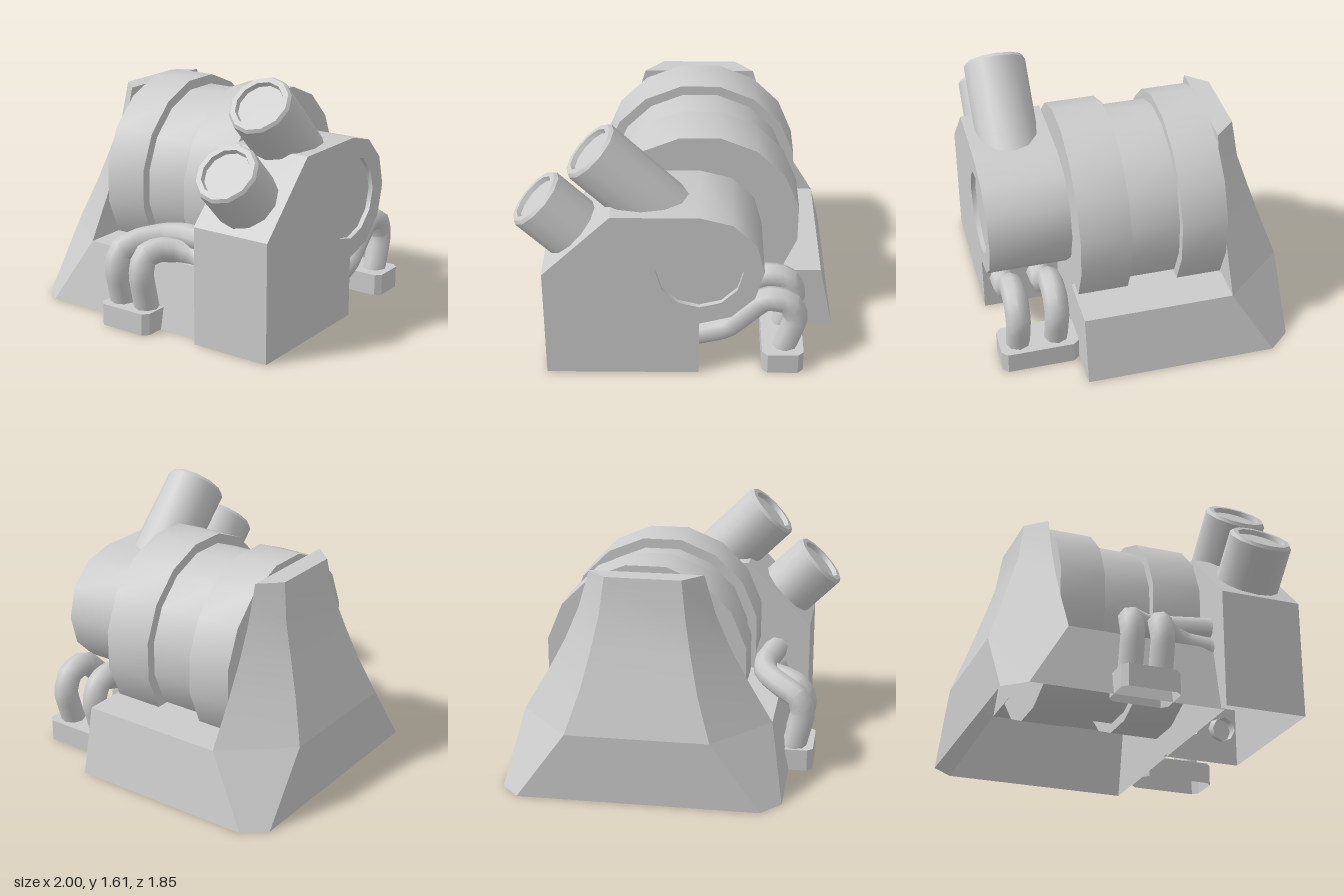
import * as THREE from 'three';
import { toCreasedNormals } from 'three/addons/utils/BufferGeometryUtils.js';

const material = new THREE.MeshStandardMaterial({ color: 0xcccccc, side: THREE.DoubleSide });
const CX = 0.13, CY = 0.78; // barrel axis

function part(parent, name, geometry, crease = 0.6) {
  const mesh = new THREE.Mesh(toCreasedNormals(geometry, crease), material);
  mesh.name = name;
  parent.add(mesh);
  return mesh;
}

// Joins equal-length loops of [x, y, z] points into a skin, with an optional lid on the last loop
function skin(loops, closed = true, lid = false) {
  const pos = [];
  const n = loops[0].length;
  for (let k = 0; k + 1 < loops.length; k++) {
    const a = loops[k], b = loops[k + 1];
    for (let i = 0; i < (closed ? n : n - 1); i++) {
      const j = (i + 1) % n;
      pos.push(...a[i], ...a[j], ...b[i], ...a[j], ...b[j], ...b[i]);
    }
  }
  const top = loops[loops.length - 1];
  if (lid) for (let i = 1; i < n - 1; i++) pos.push(...top[0], ...top[i], ...top[i + 1]);
  const g = new THREE.BufferGeometry();
  g.setAttribute('position', new THREE.Float32BufferAttribute(pos, 3));
  g.computeVertexNormals();
  return g;
}

// Stepped drum lying along z
function addBarrel(group) {
  const R = 0.632, r = 0.57;
  const profile = [[0, -0.528], [R, -0.528], [R, -0.24], [r, -0.24], [r, 0.08], [R, 0.08], [R, 0.4], [0, 0.4]];
  const g = new THREE.LatheGeometry(profile.map(p => new THREE.Vector2(...p)), 16, Math.PI / 16);
  g.rotateX(Math.PI / 2);
  part(group, 'barrel', g).position.set(CX, CY, 0);
}

// Hollow base and the tapering rear cowl
function addBase(group) {
  const mid = 0.125;
  const baseLoop = (y, side, sideZ, rear) => [
    [mid + side, y, 0.42], [mid + side, y, sideZ], [mid + rear, y, -0.925],
    [mid - rear, y, -0.925], [mid - side, y, sideZ], [mid - side, y, 0.42]];
  part(group, 'base', skin([baseLoop(0, 0.875, -0.79, 0.755), baseLoop(0.43, 0.785, -0.53, 0.445)]), 0.3);

  // Deck strips beside the barrel
  for (const s of [-1, 1]) {
    const deck = new THREE.PlaneGeometry(0.36, 0.95).rotateX(-Math.PI / 2);
    part(group, s > 0 ? 'leftDeck' : 'rightDeck', deck).position.set(mid + s * 0.605, 0.43, -0.055);
  }

  // [height, half width at front, half width at rear, rear z]
  const sections = [
    [0.43, 0.785, 0.445, -0.925], [0.69, 0.632, 0.36, -0.835], [0.9, 0.52, 0.31, -0.765],
    [1.12, 0.425, 0.265, -0.695], [1.36, 0.355, 0.235, -0.66]];
  const loops = sections.map(([y, f, b, z]) => [
    [mid + f, y, -0.53], [mid + b, y, z], [mid - b, y, z], [mid - f, y, -0.53]]);
  part(group, 'rearCowl', skin(loops, true, true), 0.3);
}

// Front housing, open below, with a round recess
function addHousing(group) {
  const outline = [[CX, 0]];
  for (let i = 0; i <= 6; i++) {
    const a = -Math.PI / 2 + i * Math.PI / 6;
    outline.push([CX + 0.39 * Math.cos(a), CY + 0.39 * Math.sin(a)]);
  }
  outline.push([-0.4, 1.17], [-0.82, 0.75], [-0.82, 0]);
  const housing = new THREE.Group();
  housing.name = 'frontHousing';
  group.add(housing);
  const at = z => outline.map(([x, y]) => [x, y, z]);
  part(housing, 'housingWall', skin([at(0.4), at(0.92)], false));

  const shape = () => new THREE.Shape(outline.map(p => new THREE.Vector2(...p)));
  const front = shape();
  const circle = [];
  for (let i = 0; i < 12; i++) {
    const a = -i * Math.PI / 6;
    circle.push(new THREE.Vector2(CX + 0.265 * Math.cos(a), CY + 0.265 * Math.sin(a)));
  }
  front.holes.push(new THREE.Path(circle));
  part(housing, 'frontPlate', new THREE.ShapeGeometry(front)).position.z = 0.92;

  const back = new THREE.ShapeGeometry(shape());
  back.index.array.reverse();
  part(housing, 'backPlate', back).position.z = 0.4;

  const rim = new THREE.CylinderGeometry(0.265, 0.265, 0.03, 12, 1, true).rotateX(Math.PI / 2);
  part(housing, 'recessRim', rim).position.set(CX, CY, 0.905);
  part(housing, 'recessDisc', new THREE.CircleGeometry(0.265, 12)).position.set(CX, CY, 0.89);
}

// Tilted stack with a bevelled rim and a sunken end; (x, y) is the centre of its mouth
function addStack(group, name, x, y, length) {
  const profile = [[0.2, -length], [0.2, -0.02], [0.185, 0], [0.152, 0], [0.145, -0.03], [0, -0.03]];
  const g = new THREE.LatheGeometry(profile.map(p => new THREE.Vector2(...p)), 12);
  const stack = part(group, name, g);
  stack.position.set(x, y, 0.66);
  stack.rotation.z = Math.PI / 4;
}

// Open-bottomed foot with clipped corners
function addFoot(group, name, x0, x1, z0, z1) {
  const c = 0.035;
  const loop = y => [
    [x1 - c, y, z1], [x1, y, z1 - c], [x1, y, z0 + c], [x1 - c, y, z0],
    [x0 + c, y, z0], [x0, y, z0 + c], [x0, y, z1 - c], [x0 + c, y, z1]];
  part(group, name, skin([loop(0), loop(0.14)], true, true));
}

function addPipe(group, name, points) {
  const path = new THREE.CatmullRomCurve3(points.map(p => new THREE.Vector3(...p)), false, 'catmullrom', 0.25);
  part(group, name, new THREE.TubeGeometry(path, 24, 0.078, 8), 0.9);
}

export function createModel() {
  const model = new THREE.Group();
  model.name = 'machine';
  addBarrel(model);
  addBase(model);
  addHousing(model);
  addStack(model, 'tallStack', -0.53, 1.48, 0.8);
  addStack(model, 'shortStack', -0.868, 1.145, 0.6);

  // Pipes on the left, from the housing down to the foot
  addFoot(model, 'leftFoot', 0.525, 0.785, 0.425, 0.92);
  for (const z of [0.555, 0.8]) {
    addPipe(model, 'leftPipe', [
      [0.06, 0.215, z], [0.16, 0.24, z], [0.31, 0.285, z], [0.53, 0.49, z],
      [0.68, 0.47, z], [0.73, 0.35, z], [0.665, 0.12, z]]);
  }

  // Pipes on the right, over the deck into the housing's back
  addFoot(model, 'rightFoot', -0.9, -0.64, -0.28, 0.09);
  addPipe(model, 'rightPipe', [
    [-0.77, 0.12, -0.19], [-0.825, 0.36, -0.19], [-0.79, 0.47, -0.19], [-0.68, 0.52, -0.13],
    [-0.57, 0.55, 0], [-0.55, 0.57, 0.14], [-0.6, 0.58, 0.42]]);
  addPipe(model, 'rightPipe', [
    [-0.77, 0.12, 0], [-0.825, 0.36, 0], [-0.79, 0.47, 0], [-0.7, 0.5, 0.04],
    [-0.62, 0.49, 0.13], [-0.58, 0.47, 0.25], [-0.61, 0.44, 0.42]]);
  return model;
}
